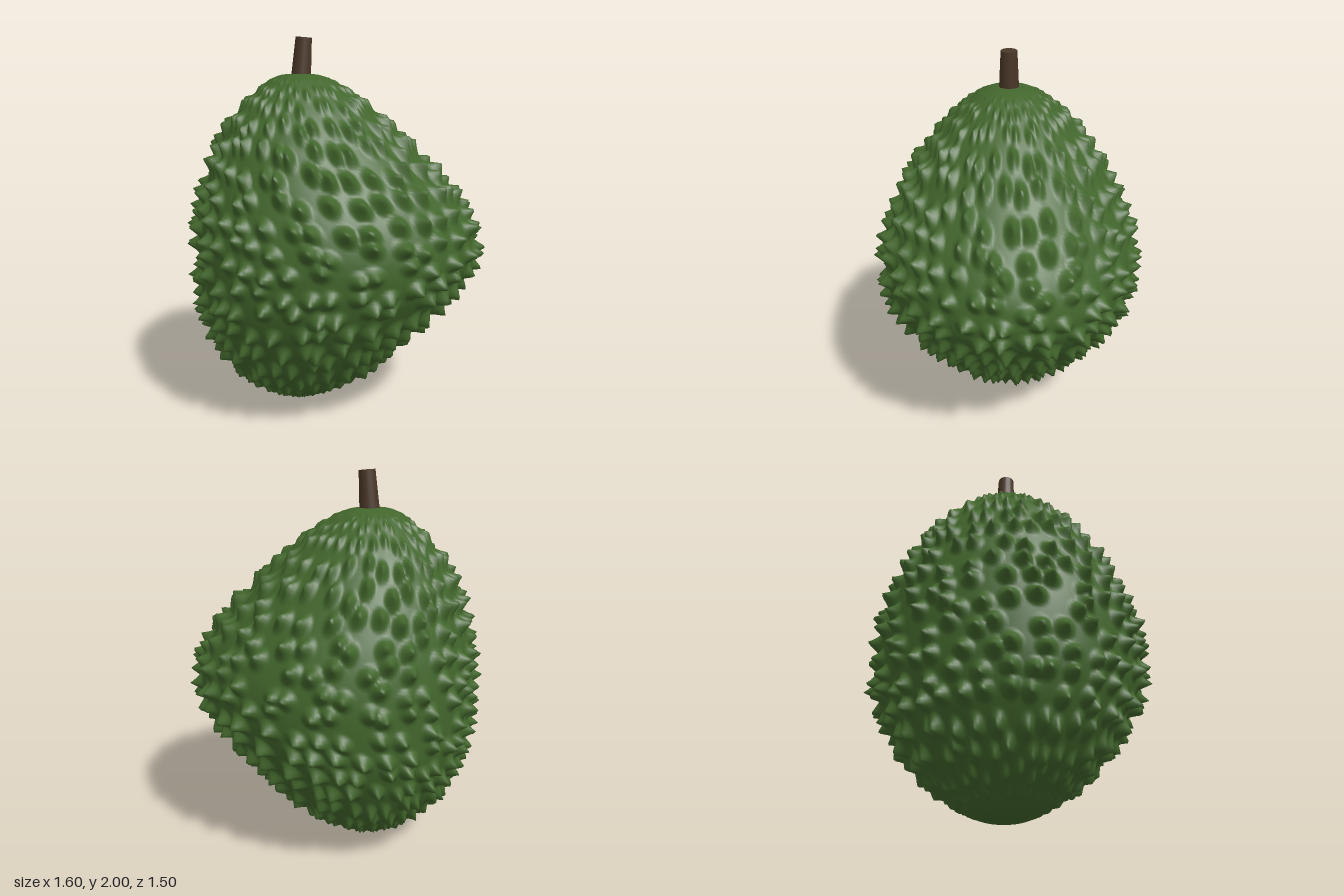
import * as THREE from 'three';

const SPIKE_ROWS = 23, SPIKE_COLS = 34; // spikes lie in loosely staggered rings
const RINGS = 190, SIDES = 342;         // mesh resolution
const SPIKE_HEIGHT = 0.08, INSET = 0.058;
const EGG = 0.08;                       // narrows the ovals towards the bulge

// Body sections from stem to base: y, left edge x, right edge x, half depth
const SECTIONS = [
  [1.81, -0.2, -0.2, 0], [1.80, -0.31, -0.08, 0.11], [1.74, -0.42, 0.06, 0.235],
  [1.60, -0.575, 0.265, 0.40], [1.40, -0.695, 0.49, 0.555], [1.20, -0.765, 0.68, 0.665],
  [1.00, -0.795, 0.785, 0.73], [0.80, -0.80, 0.78, 0.74], [0.60, -0.785, 0.645, 0.70],
  [0.40, -0.725, 0.45, 0.595], [0.20, -0.59, 0.25, 0.43], [0.08, -0.42, 0.04, 0.255],
  [0.022, -0.30, -0.09, 0.12], [0.005, -0.2, -0.2, 0],
];

function seeded(seed) {
  return () => (seed = (seed * 16807) % 2147483647) / 2147483647;
}

// Separate cusped bumps, jittered in position and size; (u, v) run 0..1
function makeSpikeField() {
  const rand = seeded(4711);
  const spikes = Array.from({ length: SPIKE_ROWS * SPIKE_COLS }, () => ({
    du: (rand() - 0.5) * 0.7, dv: (rand() - 0.5) * 0.6, size: 0.75 + 0.25 * rand(),
  }));
  return (u, v) => {
    const col = Math.floor(u * SPIKE_COLS), row = Math.floor(v * SPIKE_ROWS);
    let height = 0;
    for (let r = Math.max(0, row - 1); r <= Math.min(SPIKE_ROWS - 1, row + 1); r++) {
      for (let c = col - 2; c <= col + 2; c++) {
        const s = spikes[r * SPIKE_COLS + ((c + SPIKE_COLS) % SPIKE_COLS)];
        const x = u * SPIKE_COLS - (c + 0.25 + (r % 2) * 0.5 + s.du);
        const y = v * SPIKE_ROWS - (r + 0.5 + s.dv);
        const d = Math.hypot(x / 0.46, y / 0.56);
        if (d < 1) height = Math.max(height, s.size * Math.pow(1 - d, 1.6));
      }
    }
    return height;
  };
}

function makeBody() {
  const curve = (f) => new THREE.CatmullRomCurve3(SECTIONS.map(f), false, 'catmullrom', 0.5);
  const leftCurve = curve(([y, l, , d]) => new THREE.Vector3(l, y, d));
  const rightCurve = curve(([y, , r]) => new THREE.Vector3(r, y, 0));
  const positions = [], index = [];

  // Smooth egg-shaped rings, closed without a seam
  for (let i = 0; i <= RINGS; i++) {
    const left = leftCurve.getPoint(i / RINGS), right = rightCurve.getPoint(i / RINGS);
    const centre = (left.x + right.x) / 2, half = (right.x - left.x) / 2;
    for (let j = 0; j < SIDES; j++) {
      const a = (j / SIDES) * Math.PI * 2, sin = Math.sin(a);
      positions.push(centre + half * (Math.cos(a) - EGG * sin * sin), left.y, left.z * sin);
      if (i === RINGS) continue;
      const k = (j + 1) % SIDES;
      const p = i * SIDES + j, q = i * SIDES + k;
      if (i > 0) index.push(p, q, p + SIDES);
      if (i < RINGS - 1) index.push(q, q + SIDES, p + SIDES);
    }
  }
  const geometry = new THREE.BufferGeometry();
  geometry.setAttribute('position', new THREE.Float32BufferAttribute(positions, 3));
  geometry.setIndex(index);
  geometry.computeVertexNormals();

  // Push the spikes out along the normals, fading towards both ends
  const field = makeSpikeField();
  const pos = geometry.attributes.position, normal = geometry.attributes.normal;
  for (let i = 1; i < RINGS; i++) {
    const v = i / RINGS;
    const fade = THREE.MathUtils.smoothstep(Math.min(v, 1 - v), 0.06, 0.36);
    for (let j = 0; j < SIDES; j++) {
      const n = i * SIDES + j;
      const push = fade * (SPIKE_HEIGHT * field(j / SIDES, v) - INSET);
      pos.setXYZ(n, pos.getX(n) + normal.getX(n) * push,
        pos.getY(n) + normal.getY(n) * push, pos.getZ(n) + normal.getZ(n) * push);
    }
  }
  geometry.computeVertexNormals();
  return geometry;
}

export function createModel() {
  const skin = new THREE.MeshStandardMaterial({ color: 0x42662c });
  skin.name = 'green skin';
  const bark = new THREE.MeshStandardMaterial({ color: 0x4a3728 });
  bark.name = 'brown stem';

  const group = new THREE.Group();
  group.name = 'spikyFruit';

  const body = new THREE.Mesh(makeBody(), skin);
  body.name = 'body';

  // Short tapered stem leaning slightly to the side
  const stem = new THREE.Mesh(new THREE.CylinderGeometry(0.043, 0.055, 0.25, 20), bark);
  stem.name = 'stem';
  stem.position.set(-0.184, 1.872, 0);
  stem.rotation.z = -0.08;

  group.add(body, stem);
  return group;
}
